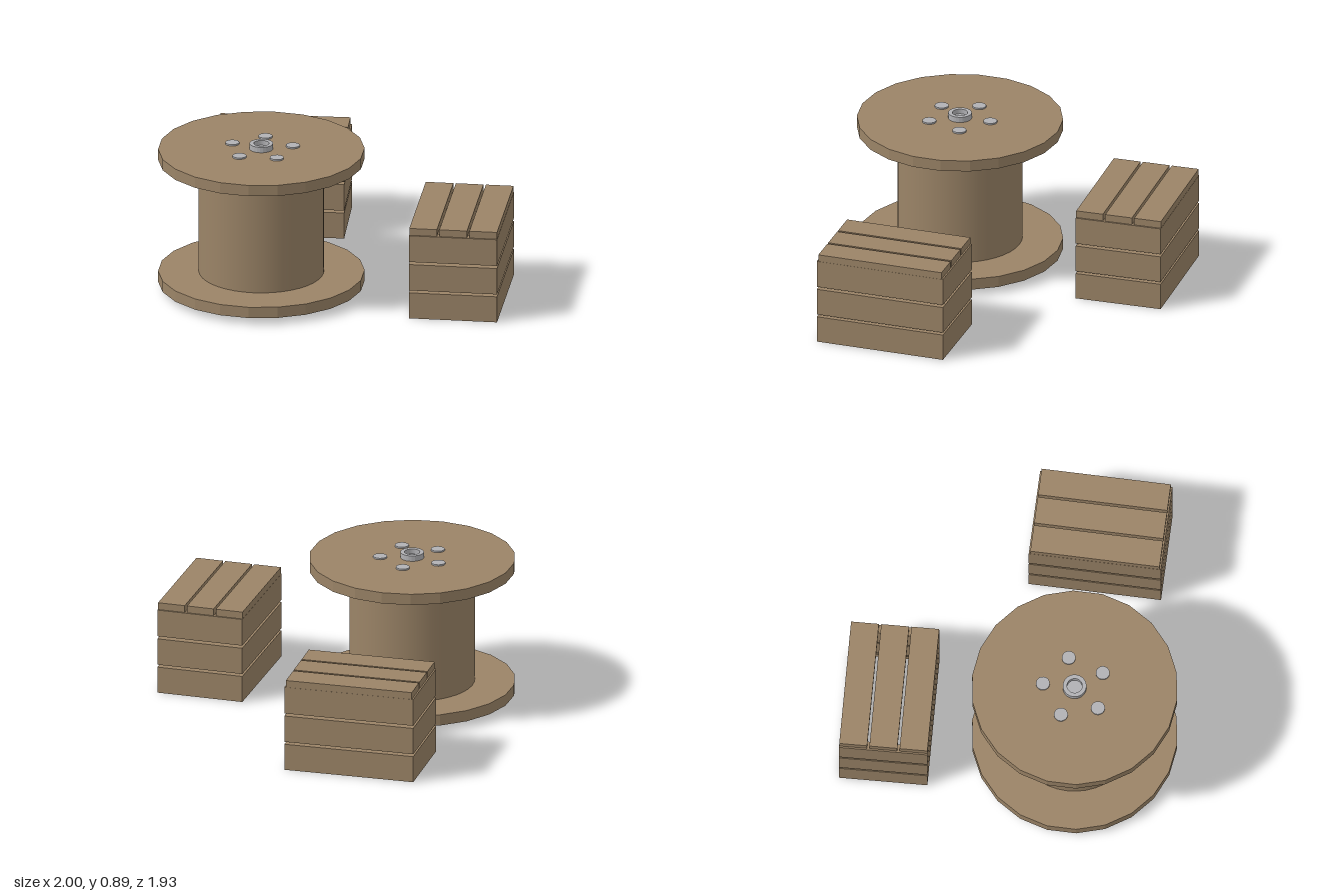
import * as THREE from 'three';

export function createModel() {
  const wood = new THREE.MeshStandardMaterial({ color: 0x9b8467 });
  wood.name = 'weathered wood';
  const steel = new THREE.MeshStandardMaterial({ color: 0xb2b2b5 });
  steel.name = 'grey steel';

  const model = new THREE.Group();
  model.name = 'cableSpoolAndCrates';

  function add(parent, name, geometry, material, x, y, z) {
    const mesh = new THREE.Mesh(geometry, material);
    mesh.name = name;
    mesh.position.set(x, y, z);
    parent.add(mesh);
    return mesh;
  }

  // Flat-faced solid of revolution from [radius, height] points
  function facetedLathe(points, sides) {
    const profile = points.map(([r, y]) => new THREE.Vector2(r, y));
    const geometry = new THREE.LatheGeometry(profile, sides).toNonIndexed();
    geometry.computeVertexNormals();
    return geometry;
  }

  // Cable spool: two faceted discs around a smooth drum
  const spool = new THREE.Group();
  spool.name = 'spool';
  spool.position.set(-0.414, 0, 0.373);
  model.add(spool);

  // The bottom disc has a shallow round recess underneath
  const bottomDisc = facetedLathe(
    [[0, 0.015], [0.36, 0.015], [0.36, 0], [0.593, 0], [0.593, 0.066], [0, 0.066]], 22);
  const topDisc = facetedLathe([[0, 0], [0.593, 0], [0.593, 0.066], [0, 0.066]], 22);
  add(spool, 'bottomDisc', bottomDisc, wood, 0, 0.038, 0);
  add(spool, 'topDisc', topDisc, wood, 0, 0.788, 0);
  add(spool, 'drum', new THREE.CylinderGeometry(0.36, 0.36, 0.7, 40, 1, true), wood, 0, 0.447, 0);

  // Ring of five bolt heads on the top disc
  const bolt = new THREE.CylinderGeometry(0.04, 0.04, 0.014, 20);
  for (let i = 0; i < 5; i++) {
    const a = Math.PI + (i * 2 * Math.PI) / 5;
    add(spool, 'bolt', bolt, steel, 0.184 * Math.sin(a), 0.856, 0.184 * Math.cos(a));
  }

  // Hollow axle collar
  const collar = facetedLathe(
    [[0.068, 0], [0.068, 0.037], [0.044, 0.037], [0.044, 0.008], [0, 0.008]], 24);
  add(spool, 'axleCollar', collar, steel, 0, 0.85, 0);

  // Slatted crate, open underneath, with its long side along z
  const W = 0.51, L = 0.766, T = 0.05;

  // Rectangular ring of four boards between two heights
  function boardRing(parent, bottom, top, thick) {
    const h = top - bottom, y = (top + bottom) / 2;
    const endBoard = new THREE.BoxGeometry(W, h, thick);
    const sideBoard = new THREE.BoxGeometry(thick, h, L - 2 * thick);
    for (const s of [-1, 1]) {
      add(parent, 'endBoard', endBoard, wood, 0, y, (s * (L - thick)) / 2);
      add(parent, 'sideBoard', sideBoard, wood, (s * (W - thick)) / 2, y, 0);
    }
  }

  function crate(name, x, z, turn) {
    const group = new THREE.Group();
    group.name = name;
    group.position.set(x, 0, z);
    group.rotation.y = turn;
    // The lowest row is a thin skirt under a full-width ledge
    boardRing(group, 0, 0.15, 0.008);
    boardRing(group, 0.15, 0.157, T);
    boardRing(group, 0.172, 0.331, T);
    boardRing(group, 0.347, 0.508, T);
    const topSlat = new THREE.BoxGeometry(0.16, 0.042, L - 0.018);
    for (let i = -1; i <= 1; i++) add(group, 'topSlat', topSlat, wood, i * 0.174, 0.529, 0);
    model.add(group);
  }
  crate('leftCrate', 0.744, 0.373, 0);
  crate('rearCrate', -0.433, -0.698, Math.PI / 2 + 0.038);

  return model;
}
